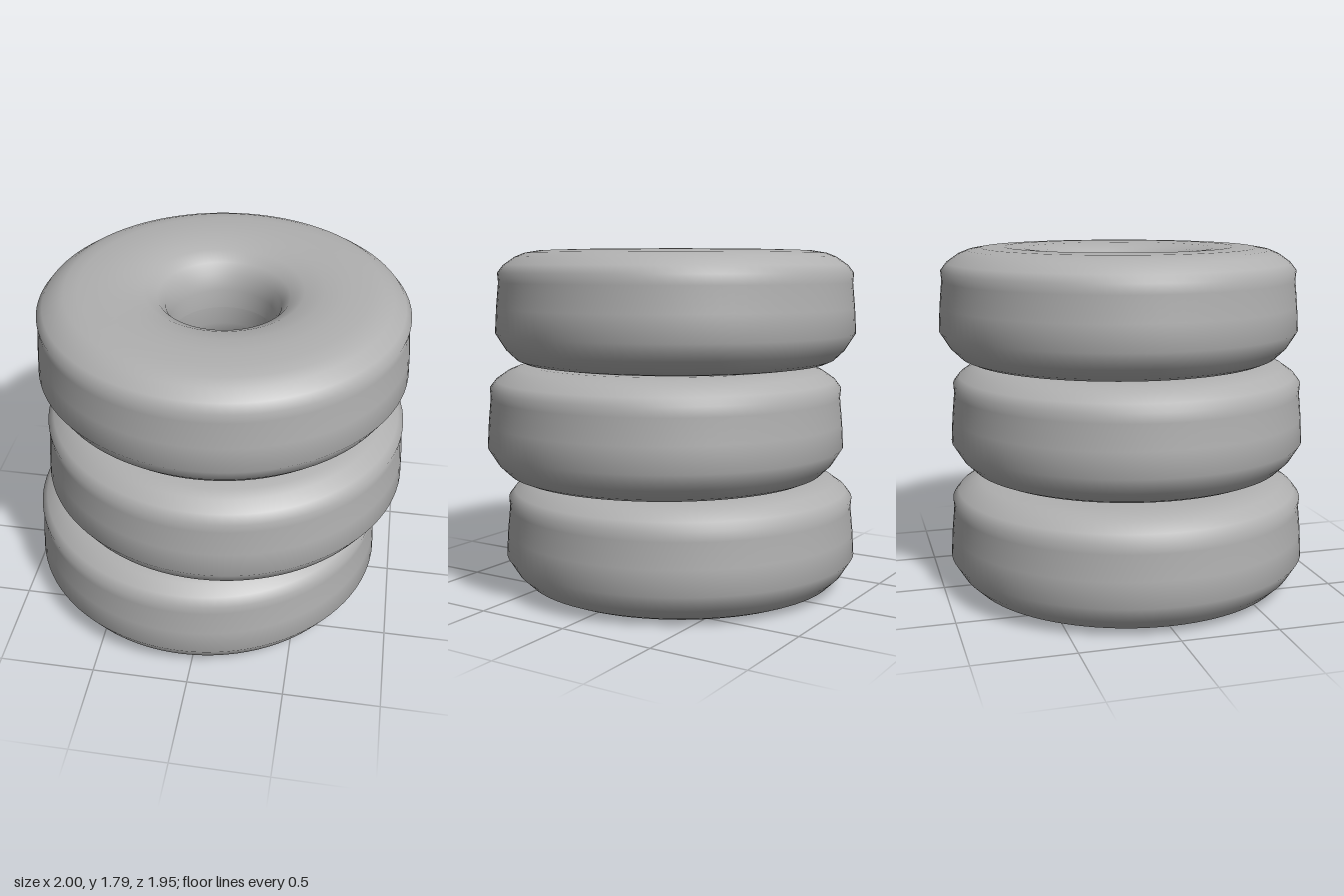
import * as THREE from 'three';

// Cross-section of one tyre as [radius, height], starting and ending on the hole wall
const SECTION = [
  [0.265, 0.30], [0.268, 0.20], [0.29, 0.12], [0.33, 0.065], [0.40, 0.028], [0.50, 0.008],
  [0.60, 0], [0.72, 0.003], [0.80, 0.015], [0.84, 0.032], [0.895, 0.085], [0.948, 0.17],
  [0.94, 0.30], [0.927, 0.43], [0.931, 0.48], [0.90, 0.52], [0.84, 0.562], [0.79, 0.582],
  [0.72, 0.594], [0.60, 0.598], [0.50, 0.59], [0.40, 0.57], [0.33, 0.533], [0.29, 0.48],
  [0.268, 0.40], [0.265, 0.30],
];

// Slightly shifted [x, y, z] for each tyre, bottom to top
const TYRES = [
  ['bottomTyre', -0.05, 0, -0.005],
  ['middleTyre', 0.05, 0.597, 0.025],
  ['topTyre', 0.03, 1.194, -0.025],
];

export function createModel() {
  const model = new THREE.Group();
  model.name = 'tyreStack';

  const rubber = new THREE.MeshStandardMaterial({ color: 0xb0b0b0 });
  rubber.name = 'grey rubber';

  const profile = SECTION.map(([r, y]) => new THREE.Vector2(r, y));
  const tyreGeometry = new THREE.LatheGeometry(profile, 96);

  for (const [name, x, y, z] of TYRES) {
    const tyre = new THREE.Mesh(tyreGeometry, rubber);
    tyre.name = name;
    tyre.position.set(x, y, z);
    model.add(tyre);
  }
  return model;
}
